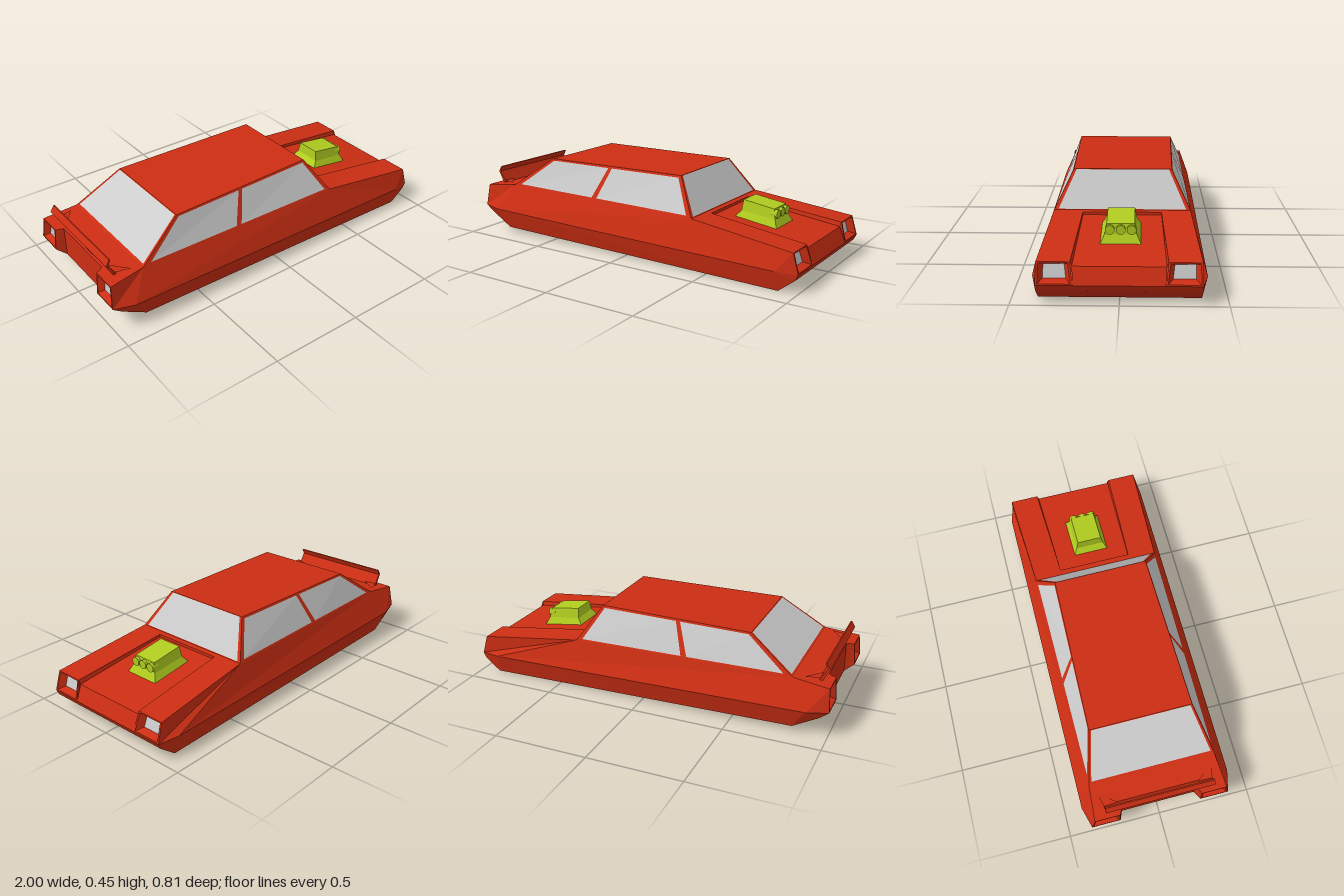
import * as THREE from 'three';

const V = (x, y, z) => new THREE.Vector3(x, y, z);
const flip = p => V(p.x, p.y, -p.z);
const both = polys => [...polys, ...polys.map(q => q.map(flip))];
const across = (a, b) => [a, b, flip(b), flip(a)]; // panel spanning left to right

const paint = color => new THREE.MeshStandardMaterial({ color, flatShading: true, side: THREE.DoubleSide });

// Mesh of flat polygons, each turned to face away from the point ref
function panels(name, material, polys, ref = V(0, 0.15, 0)) {
  const pos = [];
  for (const q of polys) {
    const n = V(0, 0, 0), c = V(0, 0, 0);
    q.forEach((p, i) => {
      n.add(p.clone().cross(q[(i + 1) % q.length]));
      c.addScaledVector(p, 1 / q.length);
    });
    const r = n.dot(c.sub(ref)) < 0 ? [...q].reverse() : q;
    for (let i = 1; i < r.length - 1; i++)
      for (const p of [r[0], r[i], r[i + 1]]) pos.push(p.x, p.y, p.z);
  }
  const g = new THREE.BufferGeometry();
  g.setAttribute('position', new THREE.Float32BufferAttribute(pos, 3));
  g.computeVertexNormals();
  const mesh = new THREE.Mesh(g, material);
  mesh.name = name;
  return mesh;
}

// Split a four-cornered panel into a grid; odd cells of the middle row are glass
function glazed([a, b, c, d], us, vs) {
  const at = (u, v) => a.clone().lerp(b, u).lerp(d.clone().lerp(c, u), v);
  const out = { frame: [], glass: [] };
  for (let i = 0; i < us.length - 1; i++)
    for (let j = 0; j < 3; j++) {
      const cell = [at(us[i], vs[j]), at(us[i + 1], vs[j]), at(us[i + 1], vs[j + 1]), at(us[i], vs[j + 1])];
      (j === 1 && i % 2 === 1 ? out.glass : out.frame).push(cell);
    }
  return out;
}

// Lamp housing: flat lip, sloping reveal and sunken lens
function lamp(corners, depth) {
  const mid = V(0, 0, 0);
  corners.forEach(p => mid.addScaledVector(p, 0.25));
  const ring = (s, dx) => corners.map(p => mid.clone().lerp(p, s).add(V(dx, 0, 0)));
  const lip = ring(0.88, 0), lens = ring(0.62, depth);
  const housing = [];
  for (let i = 0; i < 4; i++) {
    const k = (i + 1) % 4;
    housing.push([corners[i], corners[k], lip[k], lip[i]], [lip[i], lip[k], lens[k], lens[i]]);
  }
  return { housing, lens };
}

export function createModel() {
  const car = new THREE.Group();
  car.name = 'car';
  const red = paint(0xcc2e13), grey = paint(0xcccccc), lime = paint(0xb0cc1f);
  const add = (...args) => car.add(panels(...args));

  // Key points of the left half, rear to front
  const floorR = V(-0.82, 0.03, 0.375), floorF = V(0.9, 0.003, 0.38);
  const lowR = V(-0.95, 0.1, 0.37), lowF = V(0.985, 0.07, 0.38);
  const waist = [V(-1, 0.14, 0.375), V(-0.89, 0.135, 0.405), V(0.89, 0.105, 0.405), V(1, 0.1, 0.38)];
  const belt = [V(-0.99, 0.26, 0.355), V(-0.8, 0.28, 0.34), V(0.4, 0.27, 0.35), V(0.97, 0.203, 0.377)];

  // Body sides, underside and lower nose
  const sides = [
    [floorR, lowR, waist[0], waist[1]],
    [floorR, waist[1], waist[2], floorF],
    [floorF, waist[2], waist[3], lowF],
  ];
  for (let i = 0; i < 3; i++) sides.push([waist[i], waist[i + 1], belt[i + 1], belt[i]]);
  add('bodySides', red, both(sides));
  add('underside', red, [across(floorR, floorF), across(floorR, lowR)]);
  add('frontBumper', red, [across(floorF, lowF), across(lowF, waist[3])]);

  // Hood with a sunken centre channel
  const noseIn = V(1, 0.1, 0.21), lipIn = V(0.97, 0.203, 0.222), cowlIn = V(0.43, 0.268, 0.2);
  const chanF = V(0.965, 0.18, 0.215), chanR = V(0.43, 0.253, 0.2);
  add('hood', red, [...both([[belt[2], belt[3], lipIn, cowlIn]]), across(belt[2], cowlIn)]);
  add('hoodChannel', red, [across(chanR, chanF), across(cowlIn, chanR)]);
  add('channelWalls', red, both([[cowlIn, lipIn, chanF, chanR]]), V(0.7, 0.23, 0));
  add('nosePanel', red, [across(noseIn, chanF)]);

  // Trunk deck and recessed tail panel between the corner pods
  const podLow = V(-1, 0.14, 0.22), podTop = V(-0.99, 0.26, 0.22);
  const tailLow = V(-0.95, 0.1, 0.2), tailTop = V(-0.95, 0.264, 0.2);
  add('trunk', red, [
    ...both([[belt[1], belt[0], podTop, tailTop]]),
    across(belt[1], tailTop),
    across(tailLow, tailTop),
  ]);
  add('tailPods', red, both([
    [lowR, waist[0], podLow, tailLow],
    [tailLow, podLow, podTop, tailTop],
  ]));

  // Headlights and tail lights
  for (const [name, corners, depth] of [
    ['headlight', [noseIn, waist[3], belt[3], lipIn], -0.035],
    ['tailLight', [podLow, waist[0], belt[0], podTop], 0.03],
  ]) {
    const { housing, lens } = lamp(corners, depth);
    add(name + 'Housings', red, both(housing));
    add(name + 'Lenses', grey, both([lens]));
  }

  // Cabin: roof, pillars and glass
  const roofR = V(-0.56, 0.45, 0.275), roofF = V(0.28, 0.457, 0.255);
  const side = glazed([belt[1], belt[2], roofF, roofR], [0, 0.03, 0.465, 0.492, 0.977, 1], [0, 0.05, 0.94, 1]);
  const screen = glazed([belt[2], flip(belt[2]), flip(roofF), roofF], [0, 0.03, 0.97, 1], [0, 0.02, 0.985, 1]);
  const rear = glazed([belt[1], flip(belt[1]), flip(roofR), roofR], [0, 0.02, 0.98, 1], [0, 0.04, 0.985, 1]);
  add('roof', red, [across(roofR, roofF)]);
  add('pillars', red, [...both(side.frame), ...screen.frame, ...rear.frame]);
  add('sideWindows', grey, both(side.glass));
  add('windshield', grey, screen.glass);
  add('rearWindow', grey, rear.glass);

  // Spoiler: kinked blade swept across the tail, on small triangular feet
  const blade = new THREE.Shape([
    [-0.935, 0.262], [-0.972, 0.33], [-0.952, 0.362], [-0.945, 0.36], [-0.96, 0.33], [-0.92, 0.268],
  ].map(p => new THREE.Vector2(...p)));
  const spoiler = new THREE.Mesh(
    new THREE.ExtrudeGeometry(blade, { depth: 0.58, bevelEnabled: false }).translate(0, 0, -0.29), red);
  spoiler.name = 'spoiler';
  car.add(spoiler);
  add('spoilerFeet', red, both([
    [V(-0.94, 0.28, 0.29), V(-0.93, 0.276, 0.21), V(-0.85, 0.279, 0.31)],
  ]));

  // Air scoop: flared base under a tapered box, top falling to the front
  const ring = (x0, x1, y0, y1, z) => [V(x0, y0, z), V(x1, y1, z), V(x1, y1, -z), V(x0, y0, -z)];
  const rings = [
    ring(0.51, 0.75, 0.238, 0.208, 0.098),
    ring(0.54, 0.73, 0.272, 0.25, 0.078),
    ring(0.545, 0.72, 0.328, 0.303, 0.067),
  ];
  const scoop = [rings[2]];
  for (let r = 0; r < 2; r++)
    for (let i = 0; i < 4; i++) {
      const k = (i + 1) % 4;
      scoop.push([rings[r][i], rings[r][k], rings[r + 1][k], rings[r + 1][i]]);
    }
  add('airScoop', lime, scoop, V(0.63, 0.25, 0));

  // Three round intakes on the scoop's face
  for (const z of [-0.052, 0, 0.052]) {
    const intake = new THREE.Mesh(new THREE.CylinderGeometry(0.023, 0.023, 0.04, 16), lime);
    intake.rotation.z = -Math.PI / 2;
    intake.position.set(0.718, 0.275, z);
    intake.name = 'intake';
    car.add(intake);
  }
  return car;
}
